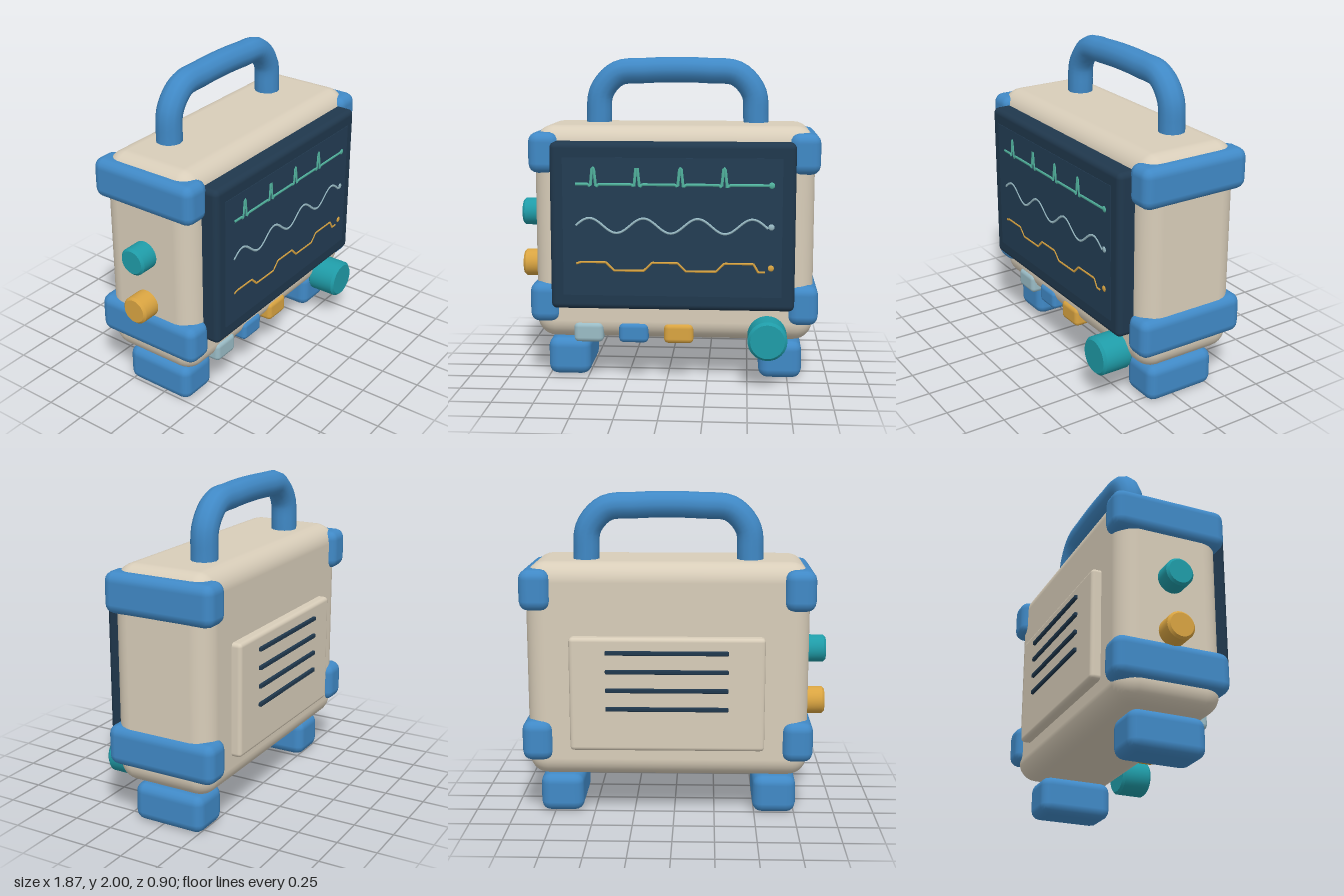
import * as THREE from 'three';
import { RoundedBoxGeometry } from 'three/addons/geometries/RoundedBoxGeometry.js';
import { toCreasedNormals } from 'three/addons/utils/BufferGeometryUtils.js';

const paint = (name, color) => {
  const m = new THREE.MeshStandardMaterial({ color });
  m.name = name;
  return m;
};

export function createModel() {
  const model = new THREE.Group();
  model.name = 'patientMonitor';
  const cream = paint('cream', 0xd8cdb9);
  const blue = paint('blue', 0x4089c6);
  const navy = paint('navy', 0x20384d);
  const glass = paint('glass', 0x233d54);
  const teal = paint('teal', 0x1f9ca8);
  const gold = paint('gold', 0xd9a441);
  const pale = paint('paleBlue', 0x9abcc6);
  const green = paint('green', 0x52b5a0);

  const add = (name, geometry, material, x = 0, y = 0, z = 0) => {
    const mesh = new THREE.Mesh(geometry, material);
    mesh.name = name;
    mesh.position.set(x, y, z);
    model.add(mesh);
    return mesh;
  };
  // Rounded box given by its extents on each axis
  const box = (name, material, [x0, x1], [y0, y1], [z0, z1], r, seg = 2) =>
    add(name, new RoundedBoxGeometry(x1 - x0, y1 - y0, z1 - z0, seg, r), material,
      (x0 + x1) / 2, (y0 + y1) / 2, (z0 + z1) / 2);
  // Knob with a bevelled rim, standing on y = 0
  const knobGeometry = (r, h, b) => toCreasedNormals(new THREE.LatheGeometry(
    [[0, 0], [r - b, 0], [r, b], [r, h - b], [r - b, h], [0, h]]
      .map(([x, y]) => new THREE.Vector2(x, y)), 32), 0.6);

  const cx = 0.04; // the case sits off centre because of the side knobs

  // Case
  box('case', cream, [-0.82, 0.9], [0.26, 1.59], [-0.37, 0.28], 0.12, 4);

  // Corner bumpers and feet, mirrored about the case centre
  for (const s of [-1, 1]) {
    const span = (a, b) => [cx + s * a, cx + s * b].sort((p, q) => p - q);
    box('upperBumper', blue, span(0.7, 0.89), [1.3, 1.55], [-0.41, 0.31], 0.06);
    box('lowerBumper', blue, span(0.7, 0.89), [0.37, 0.62], [-0.41, 0.31], 0.06);
    box('foot', blue, span(0.53, 0.8), [0, 0.24], [-0.28, 0.19], 0.06);
  }

  // Carrying handle
  const arch = new THREE.CatmullRomCurve3([
    [-0.5, 1.5], [-0.5, 1.62], [-0.485, 1.78], [-0.38, 1.895], [-0.2, 1.914], [0, 1.92],
    [0.2, 1.914], [0.38, 1.895], [0.485, 1.78], [0.5, 1.62], [0.5, 1.5],
  ].map(([x, y]) => new THREE.Vector3(x + cx, y, -0.14)));
  add('handle', new THREE.TubeGeometry(arch, 48, 0.08, 12), blue);

  // Screen housing and glass
  box('screenFrame', navy, [-0.7, 0.78], [0.48, 1.5], [0.24, 0.386], 0.035, 3);
  add('screenGlass', new THREE.BoxGeometry(1.32, 0.84, 0.006), glass, cx, 0.99, 0.386);

  // Screen traces, each ending in a dot
  const trace = (name, points, material, r, dotY) => {
    const path = new THREE.CurvePath();
    for (let i = 1; i < points.length; i++) {
      path.add(new THREE.LineCurve3(
        new THREE.Vector3(...points[i - 1], 0), new THREE.Vector3(...points[i], 0)));
    }
    const line = add(name, new THREE.TubeGeometry(path, 220, r, 6), material, 0, 0, 0.387);
    line.scale.z = 0.8;
    const dot = add(name + 'Dot', new THREE.SphereGeometry(0.02, 12, 8), material, 0.635, dotY, 0.387);
    dot.scale.z = 0.4;
  };
  const pulse = [[-0.54, 1.25]];
  for (const x of [-0.435, -0.172, 0.09, 0.352]) {
    pulse.push([x - 0.03, 1.25], [x - 0.015, 1.235], [x - 0.004, 1.35],
      [x + 0.006, 1.35], [x + 0.018, 1.235], [x + 0.035, 1.25]);
  }
  pulse.push([0.63, 1.25]);
  trace('pulseTrace', pulse, green, 0.01, 1.25);

  const wave = [];
  for (let i = 0; i <= 70; i++) {
    const x = -0.54 + i * 0.0165;
    wave.push([x, 1 + 0.045 * Math.sin((x + 0.54) / 0.327 * Math.PI * 2)]);
  }
  trace('waveTrace', wave, pale, 0.008, 1);

  const steps = [[-0.54, 0.765], [-0.51, 0.775]];
  for (const x of [-0.36, 0.075]) {
    steps.push([x, 0.775], [x + 0.05, 0.725], [x + 0.23, 0.725], [x + 0.28, 0.775]);
  }
  steps.push([0.53, 0.775], [0.56, 0.725], [0.6, 0.725]);
  trace('stepTrace', steps, gold, 0.008, 0.75);

  // Front buttons
  [pale, blue, gold].forEach((material, i) => {
    const x = -0.485 + i * 0.28;
    box('button', material, [x - 0.092, x + 0.092], [0.245, 0.37], [0.17, 0.295], 0.03);
  });

  // Front dial
  add('dial', knobGeometry(0.12, 0.2, 0.016), teal, 0.62, 0.31, 0.25).rotation.x = Math.PI / 2;

  // Side knobs
  for (const [y, material] of [[1.017, teal], [0.683, gold]]) {
    add('sideKnob', knobGeometry(0.086, 0.16, 0.014), material, -0.78, y, -0.05).rotation.z = Math.PI / 2;
  }

  // Rear panel with vent slots
  box('rearPanel', cream, [-0.55, 0.63], [0.45, 1.15], [-0.43, -0.34], 0.025);
  for (let i = 0; i < 4; i++) {
    const y = 1.06 - i * 0.115;
    box('vent', navy, [-0.33, 0.41], [y - 0.013, y + 0.013], [-0.447, -0.421], 0.006, 1);
  }
  return model;
}
